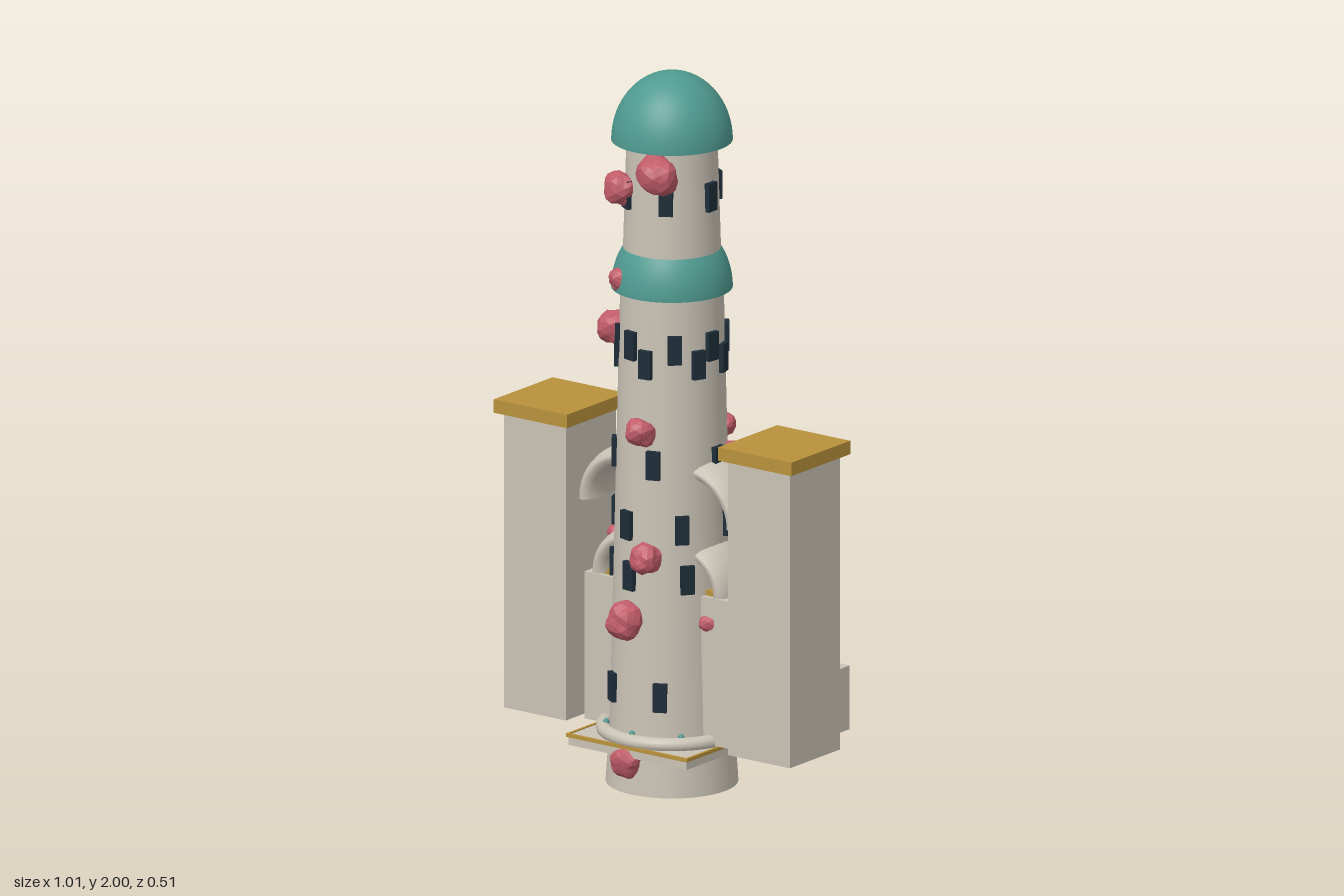
import * as THREE from 'three';

const mat = (name, color, side = THREE.FrontSide) => {
  const m = new THREE.MeshStandardMaterial({ color, side });
  m.name = name;
  return m;
};

export function createModel() {
  const stone = mat('stone', 0xc9c2b5);
  const stoneShell = stone;
  stone.side = THREE.DoubleSide;
  const teal = mat('teal', 0x4f9a90, THREE.DoubleSide);
  const gold = mat('gold', 0xb8913c);
  const pink = mat('blossom pink', 0xc05c68);
  const slate = mat('window slate', 0x1e2d38);

  const model = new THREE.Group();
  model.name = 'tower';
  const CZ = 0.035; // tower axis
  const add = (name, geo, material, x, y, z, parent = model) => {
    const m = new THREE.Mesh(geo, material);
    m.name = name;
    m.position.set(x, y, z);
    parent.add(m);
    return m;
  };
  const box = (name, w, h, d, material, x, y, z, parent) =>
    add(name, new THREE.BoxGeometry(w, h, d), material, x, y, z, parent);
  // Open tube between two heights
  const tube = (name, rTop, rBottom, y0, y1) =>
    add(name, new THREE.CylinderGeometry(rTop, rBottom, y1 - y0, 48, 1, true), stoneShell, 0, (y0 + y1) / 2, CZ);

  // Shaft
  tube('base', 0.172, 0.18, 0, 0.12);
  tube('lowerShaft', 0.14, 0.17, 0.11, 1.41);
  tube('upperShaft', 0.123, 0.136, 1.4, 1.83);

  // Domes
  const domeGeo = new THREE.SphereGeometry(0.165, 48, 16, 0, Math.PI * 2, 0, Math.PI / 2);
  domeGeo.scale(1, 0.19 / 0.165, 1);
  add('topDome', domeGeo, teal, 0, 1.81, CZ);
  add('middleDome', domeGeo, teal, 0, 1.395, CZ);

  // Square ledge with a hole for the shaft
  const square = new THREE.Shape([[-1, -1], [1, -1], [1, 1], [-1, 1]].map(([a, b]) => new THREE.Vector2(a * 0.2, b * 0.2)));
  square.holes.push(new THREE.Path().absarc(0, 0, 0.168, 0, Math.PI * 2, true));
  const ledgeGeo = new THREE.ExtrudeGeometry(square, { depth: 0.03, bevelEnabled: false, curveSegments: 32 });
  ledgeGeo.rotateX(-Math.PI / 2);
  add('ledge', ledgeGeo, stone, 0, 0.11, CZ);
  for (const s of [-1, 1]) {
    box('ledgeTrim', 0.008, 0.01, 0.41, gold, s * 0.201, 0.138, CZ);
    box('ledgeTrim', 0.41, 0.01, 0.008, gold, 0, 0.138, CZ + s * 0.201);
  }
  const ring = new THREE.TorusGeometry(0.187, 0.02, 12, 48);
  ring.rotateX(Math.PI / 2);
  add('ledgeRing', ring, stone, 0, 0.153, CZ);
  for (let i = 0; i < 8; i++) {
    const a = (i * Math.PI) / 4;
    add('ringBead', new THREE.SphereGeometry(0.009, 10, 8), teal, 0.18 * Math.sin(a), 0.172, CZ + 0.18 * Math.cos(a));
  }

  // Side piers and arched buttresses
  const arch = (R) => {
    const g = new THREE.TorusGeometry(R, 0.03, 14, 20, Math.PI / 2);
    g.scale(1, 1, 2.6);
    return g;
  };
  for (const s of [1, -1]) {
    const side = new THREE.Group();
    side.name = s > 0 ? 'leftButtress' : 'rightButtress';
    side.rotation.y = s > 0 ? 0 : Math.PI;
    side.position.z = CZ;
    model.add(side);
    box('pier', 0.21, 0.835, 0.226, stone, 0.38, 0.5625, 0, side);
    box('pierCap', 0.248, 0.038, 0.265, gold, 0.381, 0.997, 0, side);
    add('upperArch', arch(0.14), stone, 0.11, 0.765, 0, side);
    add('lowerArch', arch(0.115), stone, 0.09, 0.565, 0, side);
    box('innerPier', 0.1, 0.415, 0.13, stone, 0.198, 0.3525, 0, side);
    box('innerPierTrim', 0.06, 0.015, 0.1, gold, 0.175, 0.567, 0, side);
  }

  // Rear steps between two side walls
  for (let i = 0; i < 6; i++) {
    const h = 0.02 * (i + 2);
    box('step', 0.7, h, 0.0335, stone, 0, 0.145 + h / 2, -0.06 - 0.0335 * i);
  }
  for (const s of [-1, 1]) box('stepWall', 0.04, 0.18, 0.19, stone, s * 0.368, 0.235, -0.155);

  // Windows: height, then angles in degrees from the front
  const sixth = (o) => [0, 1, 2, 3, 4, 5].map((k) => o + 60 * k);
  const windows = [
    [0.28, sixth(26)],
    [0.61, sixth(-8)],
    [0.75, sixth(-13)],
    [0.93, [18, 90, 162, 234, 306]],
    [1.21, [8, 66, 106, 158, 212, 260, 304]],
    [1.255, [-51, -12, 40, 84, 129, 174, 228, 270]],
    [1.67, sixth(30)],
  ];
  const radiusAt = (y) => (y < 0.12 ? 0.175 : y < 1.4 ? 0.17 - (0.03 * (y - 0.11)) / 1.3 : 0.136 - (0.013 * (y - 1.4)) / 0.43);
  const windowGeo = new THREE.BoxGeometry(0.038, 0.08, 0.024);
  for (const [y, angles] of windows) {
    for (const deg of angles) {
      const a = THREE.MathUtils.degToRad(deg);
      const r = radiusAt(y);
      add('window', windowGeo, slate, r * Math.sin(a), y, CZ + r * Math.cos(a)).rotation.y = a;
    }
  }

  // Blossom clumps: angle in degrees, height, size
  let seed = 7;
  const rand = () => (seed = (seed * 16807) % 2147483647) / 2147483647;
  const clump = (size) => {
    const g = new THREE.IcosahedronGeometry(size, 2);
    const p = g.attributes.position;
    const v = new THREE.Vector3();
    const lobes = Array.from({ length: 16 }, () => new THREE.Vector3(rand() - 0.5, rand() - 0.5, rand() - 0.5).normalize());
    for (let i = 0; i < p.count; i++) {
      v.fromBufferAttribute(p, i).normalize();
      const near = Math.max(...lobes.map((l) => l.dot(v)));
      v.multiplyScalar(size * (0.72 + 0.36 * Math.max(0, near) ** 4));
      p.setXYZ(i, v.x, v.y, v.z);
    }
    g.computeVertexNormals();
    return g;
  };
  const clumps = [
    [-40, 1.68, 0.052], [22, 1.75, 0.06], [184, 1.66, 0.058], [-33, 1.43, 0.035],
    [-62, 1.27, 0.05], [4, 1.02, 0.044], [12, 0.67, 0.044], [-10, 0.485, 0.054],
    [-5, 0.09, 0.044], [-85, 0.665, 0.034], [-90, 0.5, 0.036], [-105, 0.43, 0.04],
    [-112, 0.37, 0.03], [75, 0.48, 0.034], [92, 0.435, 0.034], [108, 0.33, 0.036],
    [120, 0.93, 0.04], [112, 0.8, 0.042], [214, 1.14, 0.044], [208, 1.03, 0.036],
    [221, 1.01, 0.036], [158, 0.98, 0.034], [152, 0.87, 0.04], [206, 0.65, 0.056],
    [154, 0.6, 0.04], [164, 0.43, 0.052], [155, 0.5, 0.04], [222, 0.4, 0.05],
    [155, 0.3, 0.042], [250, 0.22, 0.036],
  ];
  for (const [deg, y, size] of clumps) {
    const a = THREE.MathUtils.degToRad(deg);
    const r = radiusAt(y) + 0.012;
    add('blossom', clump(size), pink, r * Math.sin(a), y, CZ + r * Math.cos(a));
  }

  return model;
}
